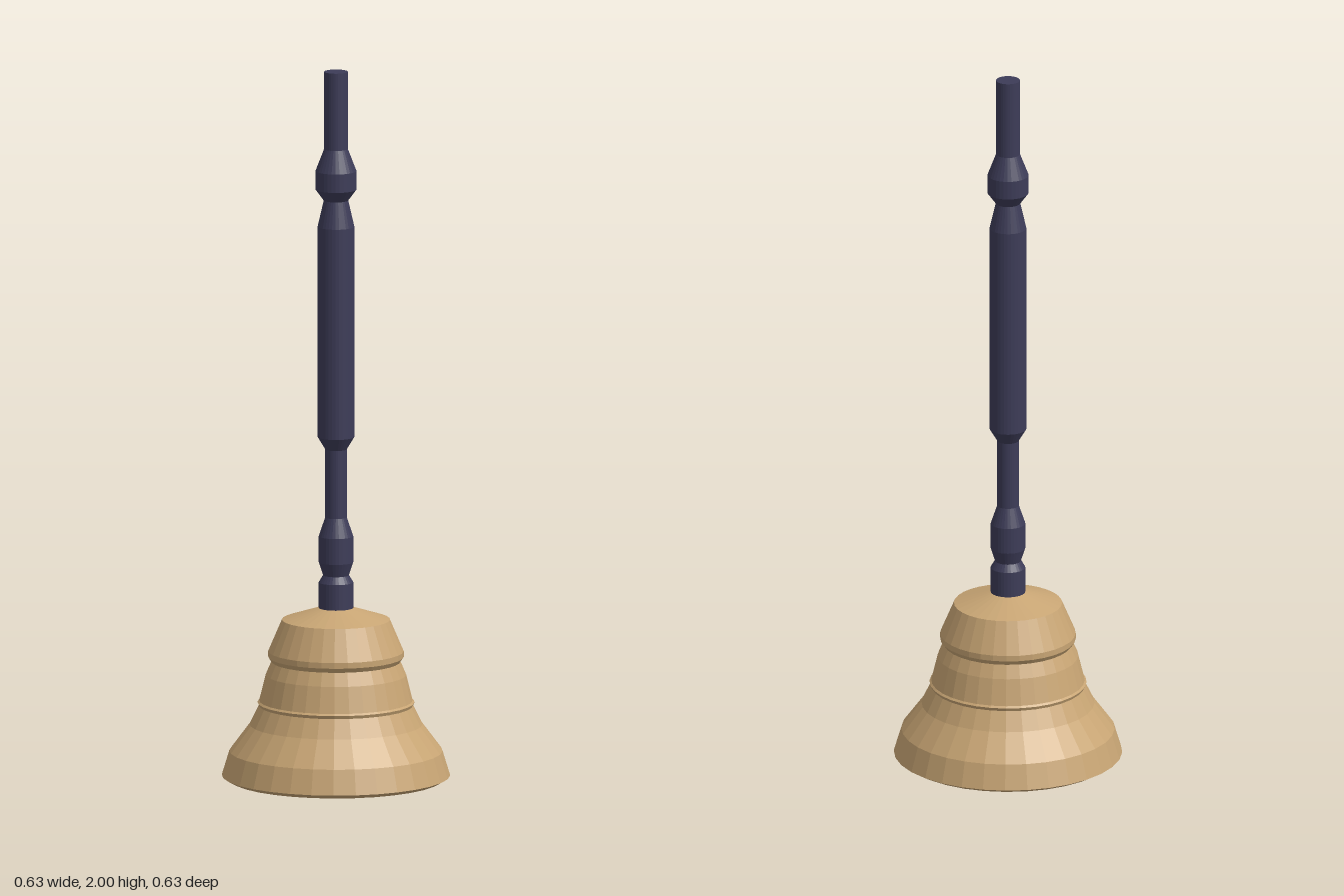
import * as THREE from 'three';

const material = (name, color) => {
  const m = new THREE.MeshStandardMaterial({ color });
  m.name = name;
  return m;
};

// Faceted solid of revolution; the profile of [radius, height] runs bottom to top on the outside
function turned(name, profile, mat, sides = 32) {
  const points = profile.map(([r, y]) => new THREE.Vector2(r, y));
  const geometry = new THREE.LatheGeometry(points, sides).toNonIndexed();
  geometry.computeVertexNormals();
  const mesh = new THREE.Mesh(geometry, mat);
  mesh.name = name;
  return mesh;
}

export function createModel() {
  const group = new THREE.Group();
  group.name = 'handBell';
  const brass = material('brass', 0xc8a574);
  const wood = material('dark painted wood', 0x3d3c58);
  const iron = material('dark olive metal', 0x5a4e26);

  // Hollow bell: down the inner wall, around the lip, up the outer wall
  group.add(turned('bell', [
    [0, 0.43], [0.125, 0.42], [0.155, 0.34], [0.182, 0.23], [0.21, 0.155],
    [0.262, 0.08], [0.281, 0.012], [0.295, 0.004], [0.317, 0.016],
    [0.296, 0.085], [0.24, 0.16], [0.214, 0.213], [0.218, 0.222], [0.213, 0.227],
    [0.195, 0.3], [0.179, 0.337], [0.188, 0.35], [0.188, 0.366],
    [0.15, 0.455], [0.048, 0.488], [0, 0.488],
  ], brass));

  // Turned handle with swellings and collars
  group.add(turned('handle', [
    [0, 0.48], [0.048, 0.48], [0.048, 0.56], [0.036, 0.58], [0.048, 0.617],
    [0.048, 0.69], [0.03, 0.743], [0.03, 0.935], [0.051, 0.97], [0.051, 1.563],
    [0.034, 1.637], [0.057, 1.668], [0.057, 1.72], [0.033, 1.782], [0.033, 2], [0, 2],
  ], wood));

  // Clapper rod and bulb inside the bell
  group.add(turned('clapper', [
    [0, 0.03], [0.03, 0.03], [0.046, 0.05], [0.046, 0.08], [0.028, 0.1],
    [0.028, 0.43], [0, 0.43],
  ], iron));

  return group;
}
